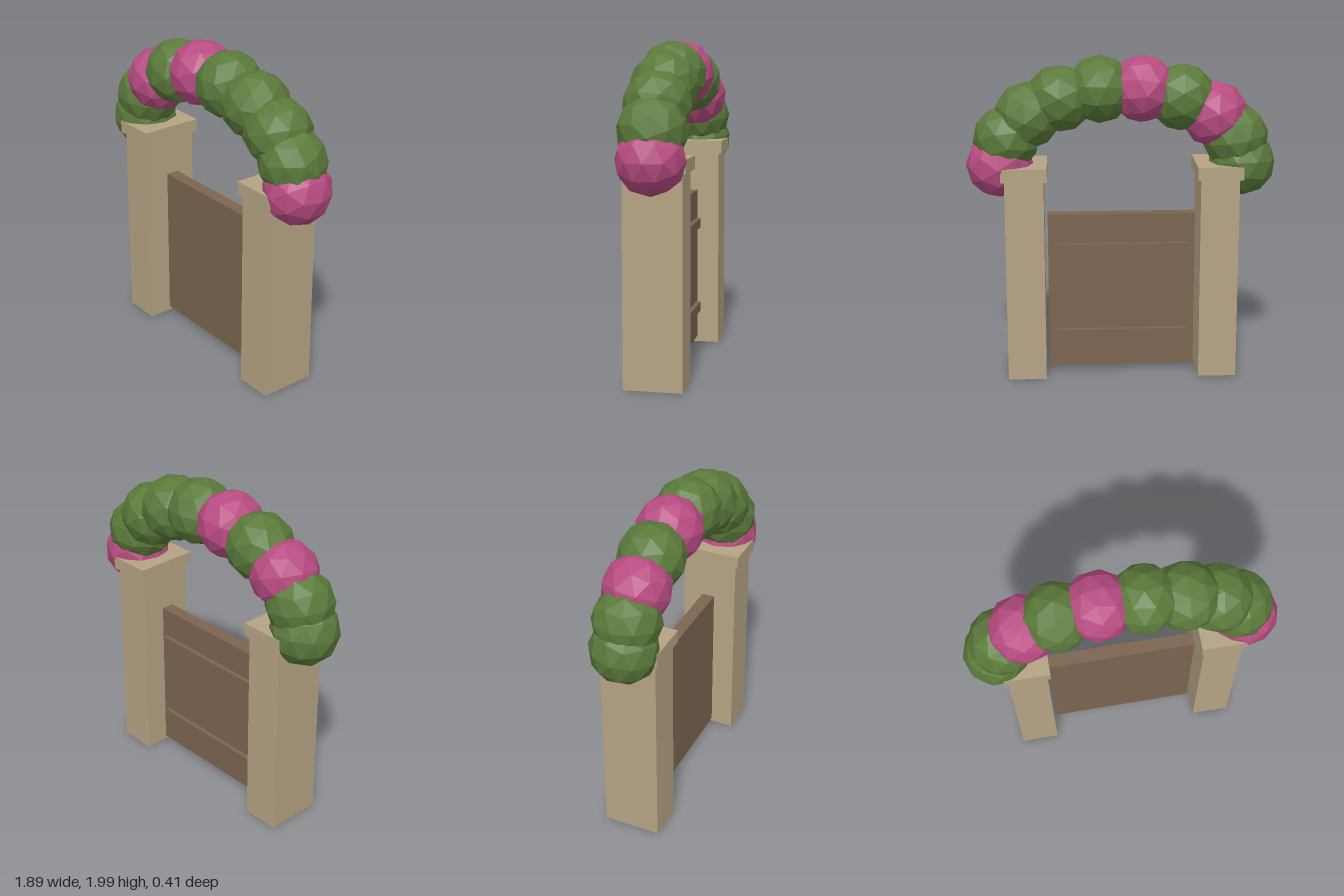
import * as THREE from 'three';

const material = (name, color, flatShading = false) => {
  const m = new THREE.MeshStandardMaterial({ color, flatShading });
  m.name = name;
  return m;
};

export function createModel() {
  const stone = material('sandstone', 0xb5a384);
  const wood = material('brown wood', 0x7c6550);
  const leaf = material('leaf green', 0x5b7a3b, true);
  const bloom = material('blossom pink', 0xb84c82, true);

  const root = new THREE.Group();
  root.name = 'gardenGate';
  const cx = -0.018; // the arch sits slightly off centre
  const cz = 0.003;

  const box = (name, mat, w, h, d, x, bottom, z, parent = root) => {
    const mesh = new THREE.Mesh(new THREE.BoxGeometry(w, h, d), mat);
    mesh.name = name;
    mesh.position.set(x, bottom + h / 2, z);
    parent.add(mesh);
  };

  // Stone pillars with caps
  for (const side of [-1, 1]) {
    const pillar = new THREE.Group();
    pillar.name = side < 0 ? 'rightPillar' : 'leftPillar';
    root.add(pillar);
    const x = cx + side * 0.59;
    box('pillarShaft', stone, 0.235, 1.26, 0.35, x, 0, cz, pillar);
    box('pillarCap', stone, 0.276, 0.08, 0.395, x, 1.26, cz, pillar);
  }

  // Wooden gate with two rails on the back
  box('gatePanel', wood, 0.905, 0.98, 0.08, cx, 0.04, cz);
  for (const y of [0.222, 0.778]) {
    box('gateRail', wood, 0.83, 0.06, 0.03, cx, y, cz - 0.053);
  }

  // Leaf and flower clumps along an elliptical arch, from the model's left to its right
  const arch = new THREE.Group();
  arch.name = 'floralArch';
  root.add(arch);
  const clumpShape = new THREE.IcosahedronGeometry(0.205, 1);
  const flowers = [0, 5, 7];
  for (let i = 0; i < 10; i++) {
    const a = (i * Math.PI) / 9;
    const isFlower = flowers.includes(i);
    const clump = new THREE.Mesh(clumpShape, isFlower ? bloom : leaf);
    clump.name = isFlower ? 'flowerClump' : 'leafClump';
    clump.position.set(cx + 0.738 * Math.cos(a), 1.335 + 0.46 * Math.sin(a), cz);
    clump.rotation.set(i * 1.3, i * 2.1, i * 0.7);
    arch.add(clump);
  }
  return root;
}
